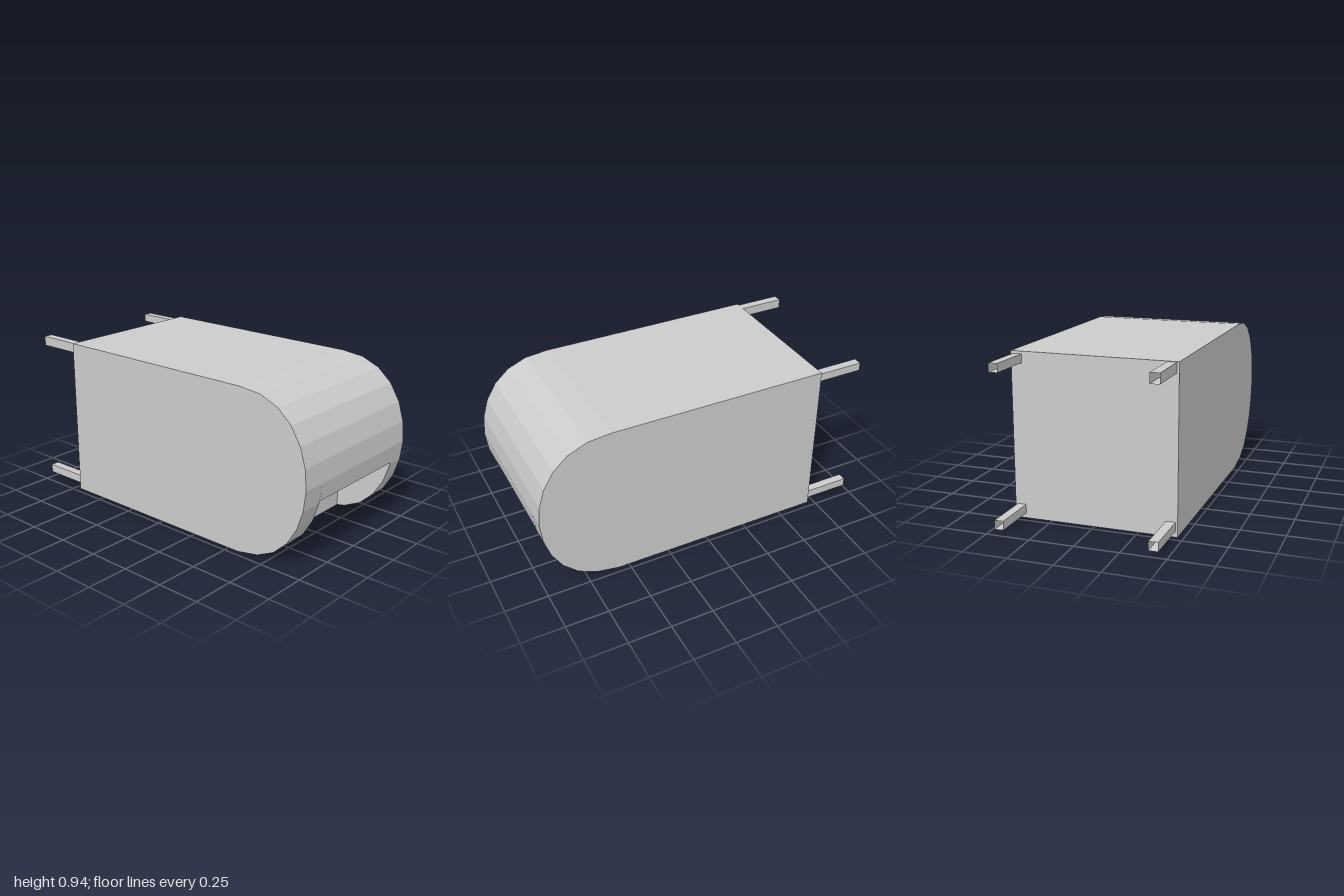
import * as THREE from 'three';

const material = new THREE.MeshStandardMaterial({ color: 0xcccccc, flatShading: true, side: THREE.DoubleSide });

// Side outline as [z, y]: flat back half, faceted round nose
const HALF_WIDTH = 0.467, BACK = -0.713;
const bottom = [[BACK, 0], [0.565, 0]];
const lowerNose = [[0.7, 0.025], [0.805, 0.075], [0.89, 0.155], [0.95, 0.254], [0.986, 0.363]];
const upperNose = [[1, 0.478], [0.99, 0.594], [0.957, 0.703], [0.897, 0.801], [0.812, 0.876], [0.703, 0.921], [0.57, 0.935]];
const top = [[BACK, 0.935]];
const outline = [...bottom, ...lowerNose, ...upperNose, ...top];

// Recess in the lower front
const RECESS = { x0: -0.327, x1: 0.36, z: 0.65, y0: 0.016, y1: 0.375 };
const recessLip = [0.988, RECESS.y1];
const notched = [...bottom, [RECESS.z, RECESS.y0], [RECESS.z, RECESS.y1], recessLip, ...upperNose, ...top];
const cheek = [[RECESS.z, RECESS.y0], ...lowerNose, recessLip, [RECESS.z, RECESS.y1]];

// Sweeps a closed [z, y] loop across x without end caps
function band(name, loop, x0, x1) {
  const positions = [];
  loop.forEach(([z0, y0], i) => {
    const [z1, y1] = loop[(i + 1) % loop.length];
    const a = [x0, y0, z0], b = [x1, y0, z0], c = [x1, y1, z1], d = [x0, y1, z1];
    positions.push(...a, ...b, ...c, ...a, ...c, ...d);
  });
  const geometry = new THREE.BufferGeometry();
  geometry.setAttribute('position', new THREE.Float32BufferAttribute(positions, 3));
  geometry.computeVertexNormals();
  return named(name, geometry);
}

// Flat panel across x, facing +x or -x
function panel(name, loop, x, facing) {
  const shape = new THREE.Shape(loop.map(([z, y]) => new THREE.Vector2(z, y)));
  const mesh = named(name, new THREE.ShapeGeometry(shape).rotateY(-Math.PI / 2));
  mesh.scale.x = -facing;
  mesh.position.x = x;
  return mesh;
}

function named(name, geometry) {
  const mesh = new THREE.Mesh(geometry, material);
  mesh.name = name;
  return mesh;
}

// Square tube along z, open at both ends
function tube(name, x0, x1, y0, y1, end) {
  const geometry = new THREE.BoxGeometry(x1 - x0, y1 - y0, BACK - end);
  geometry.setIndex([...geometry.index.array].slice(0, 24));
  geometry.clearGroups();
  const mesh = named(name, geometry);
  mesh.position.set((x0 + x1) / 2, (y0 + y1) / 2, (BACK + end) / 2);
  return mesh;
}

export function createModel() {
  const model = new THREE.Group();
  model.name = 'bin';

  const body = new THREE.Group();
  body.name = 'body';
  body.add(
    band('rightShell', outline, -HALF_WIDTH, RECESS.x0),
    band('recessedShell', notched, RECESS.x0, RECESS.x1),
    band('leftShell', outline, RECESS.x1, HALF_WIDTH),
    panel('rightSide', outline, -HALF_WIDTH, -1),
    panel('leftSide', outline, HALF_WIDTH, 1),
    panel('recessRightWall', cheek, RECESS.x0, 1),
    panel('recessLeftWall', cheek, RECESS.x1, -1),
  );

  const legs = new THREE.Group();
  legs.name = 'legs';
  legs.add(
    tube('upperLeftLeg', 0.405, 0.455, 0.872, 0.92, -0.987),
    tube('upperRightLeg', -0.455, -0.403, 0.876, 0.932, -0.987),
    tube('lowerLeftLeg', 0.405, 0.455, 0.028, 0.078, -0.987),
    tube('lowerRightLeg', -0.455, -0.403, 0.033, 0.083, -1),
  );

  model.add(body, legs);
  return model;
}
